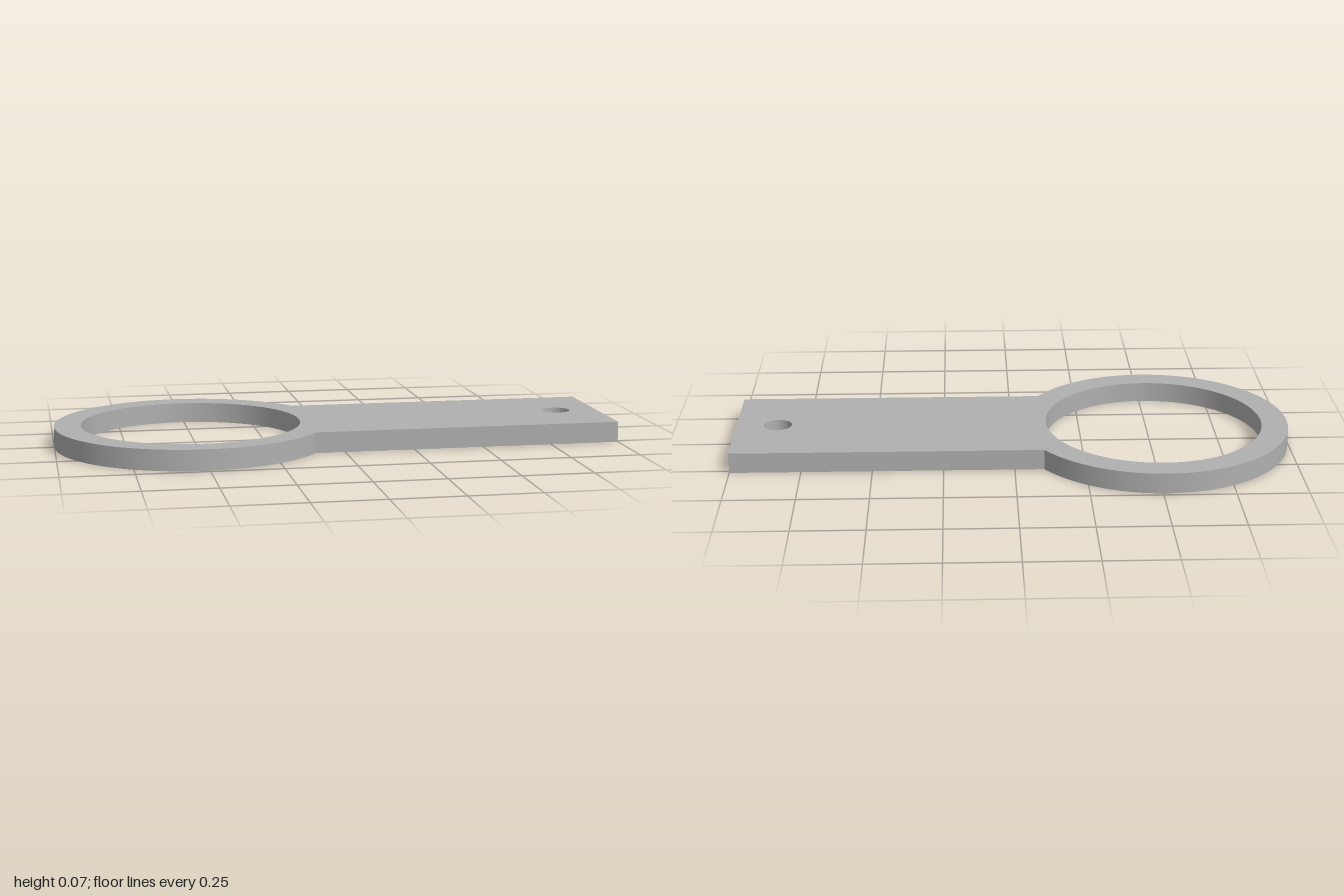
import * as THREE from 'three';
import { toCreasedNormals } from 'three/addons/utils/BufferGeometryUtils.js';

const THICKNESS = 0.073;
const RING = { x: -0.513, outer: 0.487, inner: 0.392 };
const TAB = { end: 1, halfWidth: 0.265 };
const HOLE = { x: 0.85, radius: 0.05 };

function circularHole(x, radius) {
  return new THREE.Path().absarc(x, 0, radius, 0, Math.PI * 2, true);
}

export function createModel() {
  const group = new THREE.Group();
  group.name = 'ringBracket';

  const grey = new THREE.MeshStandardMaterial({ color: 0xb0b0b0 });
  grey.name = 'grey';

  // Outline: ring arc running into a straight tab
  const join = Math.asin(TAB.halfWidth / RING.outer);
  const outline = new THREE.Shape();
  outline.absarc(RING.x, 0, RING.outer, join, Math.PI * 2 - join, false);
  outline.lineTo(TAB.end, -TAB.halfWidth);
  outline.lineTo(TAB.end, TAB.halfWidth);
  outline.closePath();

  // Ring opening and mounting hole
  outline.holes.push(circularHole(RING.x, RING.inner), circularHole(HOLE.x, HOLE.radius));

  // Lay the plate flat on the ground, with smooth curved walls and sharp rims
  const plate = new THREE.ExtrudeGeometry(outline, {
    depth: THICKNESS, bevelEnabled: false, curveSegments: 72,
  });
  plate.rotateX(-Math.PI / 2);

  const bracket = new THREE.Mesh(toCreasedNormals(plate, 0.45), grey);
  bracket.name = 'ringAndTabPlate';
  group.add(bracket);
  return group;
}
